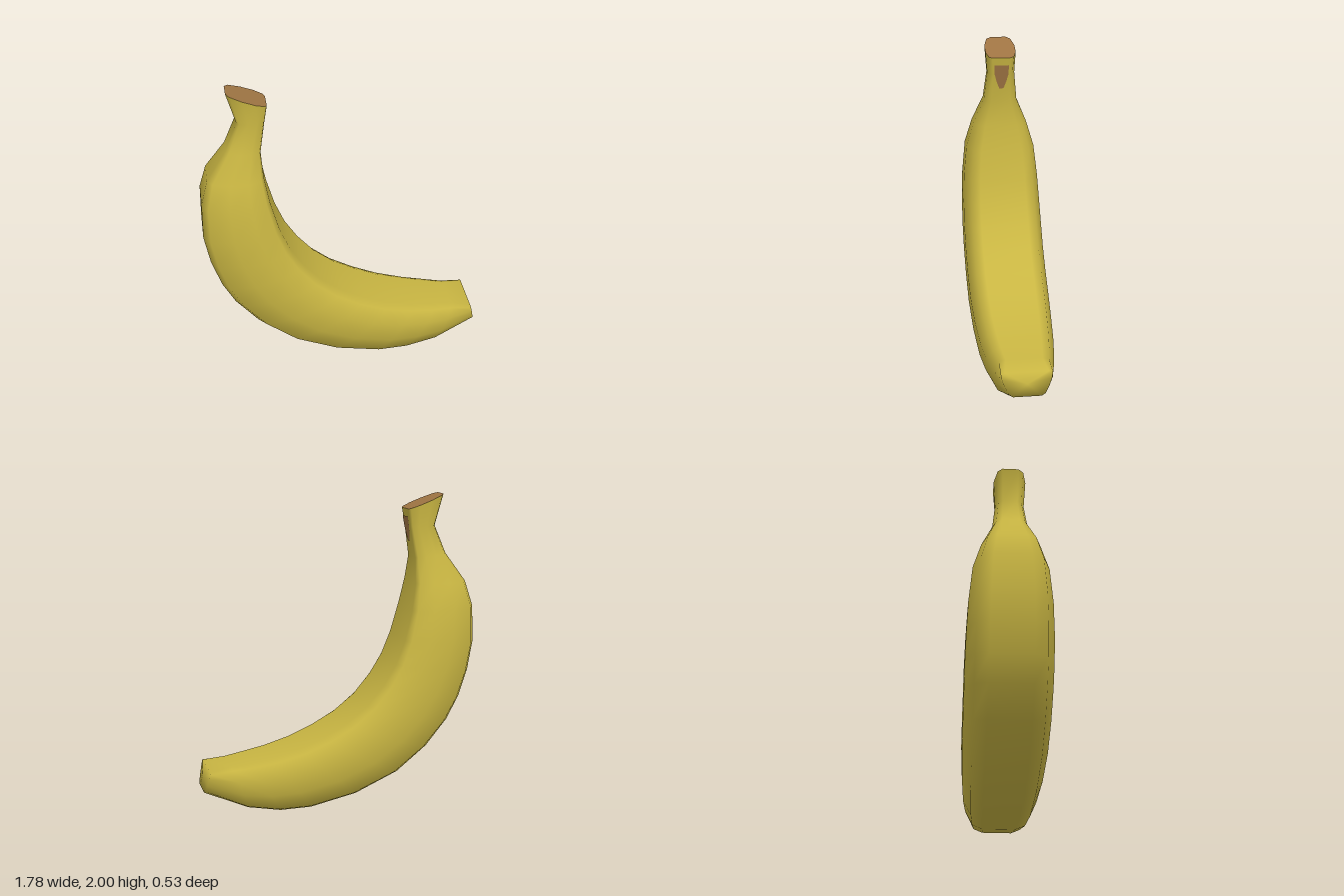
import * as THREE from 'three';

// Cross-sections from stem to tip: outer x, y, inner x, y, half width
const SECTIONS = [
  [-0.70, 2.00, -0.46, 1.91, 0.10],
  [-0.645, 1.80, -0.478, 1.80, 0.09],
  [-0.72, 1.62, -0.51, 1.60, 0.11],
  [-0.845, 1.44, -0.50, 1.44, 0.18],
  [-0.89, 1.28, -0.47, 1.27, 0.23],
  [-0.895, 1.05, -0.42, 1.08, 0.252],
  [-0.86, 0.86, -0.36, 0.93, 0.26],
  [-0.80, 0.68, -0.28, 0.80, 0.264],
  [-0.72, 0.53, -0.17, 0.67, 0.264],
  [-0.58, 0.36, -0.03, 0.56, 0.263],
  [-0.38, 0.20, 0.12, 0.48, 0.26],
  [-0.10, 0.075, 0.28, 0.415, 0.25],
  [0.20, 0.008, 0.45, 0.37, 0.233],
  [0.40, 0.003, 0.60, 0.345, 0.212],
  [0.61, 0.04, 0.72, 0.328, 0.188],
  [0.89, 0.165, 0.855, 0.31, 0.157],
];

// Half of the ring: position from outer (0) to inner (1), fraction of half width
const HALF = [[0, 0.5], [0.09, 0.8], [0.4, 1], [0.72, 1], [0.95, 0.82], [1, 0.6]];
const TIP_HALF = [[0, 0.55], [0.1, 0.7], [0.4, 0.85], [0.72, 0.96], [0.95, 1], [1, 0.85]];

function ring([ox, oy, ix, iy, w], half) {
  const full = [...half, ...half.slice().reverse().map(([u, z]) => [u, -z])];
  return full.map(([u, z]) => [ox + (ix - ox) * u, oy + (iy - oy) * u, z * w]);
}

function geometry(points, index) {
  const g = new THREE.BufferGeometry();
  g.setAttribute('position', new THREE.Float32BufferAttribute(points.flat(), 3));
  g.setIndex(index);
  g.computeVertexNormals();
  return g;
}

function centre(points) {
  return [0, 1, 2].map(k => points.reduce((s, p) => s + p[k], 0) / points.length);
}

export function createModel() {
  const group = new THREE.Group();
  group.name = 'banana';
  const peel = new THREE.MeshStandardMaterial({ name: 'yellow peel', color: 0xc8b542 });
  const brown = new THREE.MeshStandardMaterial({ name: 'brown stem', color: 0x9e7443 });

  const add = (name, geo, mat) => {
    const mesh = new THREE.Mesh(geo, mat);
    mesh.name = name;
    group.add(mesh);
  };

  // Curved peel, closed at the blossom end
  const rings = SECTIONS.map((s, i) => ring(s, i === SECTIONS.length - 1 ? TIP_HALF : HALF));
  const n = rings[0].length;
  const points = rings.flat();
  const index = [];
  for (let i = 0; i < rings.length - 1; i++) {
    for (let j = 0; j < n; j++) {
      const a = i * n + j, b = i * n + (j + 1) % n;
      index.push(a, a + n, b, b, a + n, b + n);
    }
  }
  const last = (rings.length - 1) * n;
  const tip = centre(rings[rings.length - 1]);
  points.push([tip[0] + 0.008, tip[1], 0]);
  for (let j = 0; j < n; j++) index.push(points.length - 1, last + (j + 1) % n, last + j);
  add('peel', geometry(points, index), peel);

  // Cut face on top of the stem
  const capIndex = [];
  for (let j = 0; j < n; j++) capIndex.push(n, j, (j + 1) % n);
  add('stemCut', geometry([...rings[0], centre(rings[0])], capIndex), brown);

  // Brown mark on the inner side of the stem, tapering downwards
  const mark = [[1.86, 0.048], [1.80, 0.046], [1.75, 0.033], [1.70, 0.014]];
  const markPoints = mark.flatMap(([y, w]) => {
    const x = -0.46 - (1.91 - y) * 0.163 + 0.006;
    return [[x, y, w], [x, y, -w]];
  });
  const markIndex = [];
  for (let i = 0; i < mark.length - 1; i++) {
    const a = i * 2;
    markIndex.push(a, a + 2, a + 1, a + 1, a + 2, a + 3);
  }
  add('stemMark', geometry(markPoints, markIndex), brown);

  return group;
}
